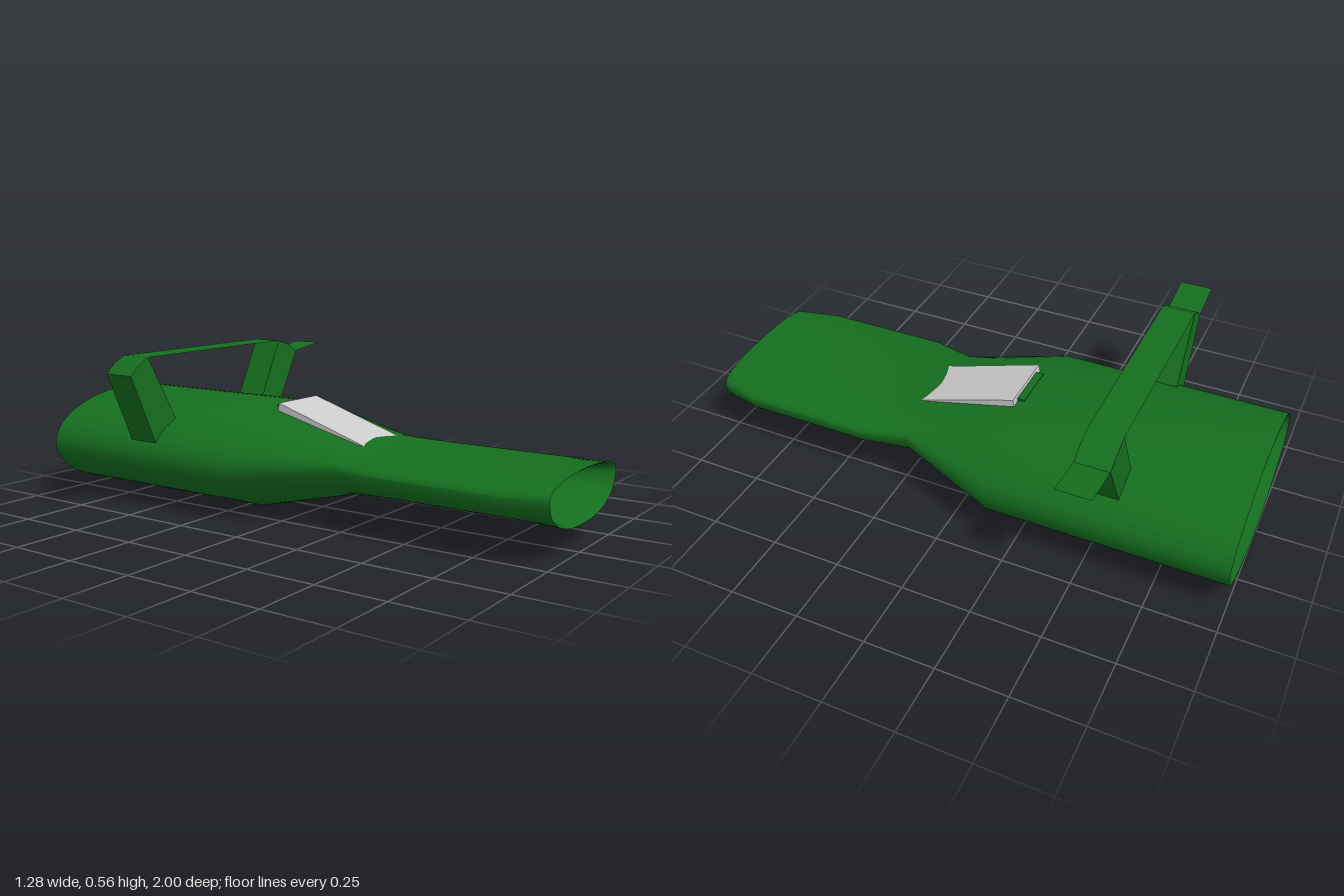
import * as THREE from 'three';
import { toCreasedNormals } from 'three/addons/utils/BufferGeometryUtils.js';

const green = new THREE.MeshStandardMaterial({ color: 0x156e1f, side: THREE.DoubleSide });
const grey = new THREE.MeshStandardMaterial({ color: 0xcccccc });

// Skins closed cross-sections: [z, half width, centre y, height above, depth below, squareness]
function loft(sections, cx, sides = 64) {
  const pos = [], index = [];
  for (const [z, w, cy, up, down, n] of sections) {
    for (let j = 0; j < sides; j++) {
      const a = (j / sides) * Math.PI * 2, c = Math.cos(a), s = Math.sin(a);
      const px = Math.sign(c) * Math.abs(c) ** (2 / n);
      const py = Math.sign(s) * Math.abs(s) ** (2 / n);
      pos.push(cx + w * px, cy + (s > 0 ? up : down) * py, z);
    }
  }
  for (let i = 0; i < sections.length - 1; i++) {
    for (let j = 0; j < sides; j++) {
      const k = (j + 1) % sides, a = i * sides, b = a + sides;
      index.push(a + j, a + k, b + j, a + k, b + k, b + j);
    }
  }
  const geo = new THREE.BufferGeometry();
  geo.setAttribute('position', new THREE.Float32BufferAttribute(pos, 3));
  geo.setIndex(index);
  return toCreasedNormals(geo, 0.8);
}

// Prism from a side profile of [z, y] points, running from x0 to x1
function sideProfile(points, x0, x1) {
  const shape = new THREE.Shape(points.map(([z, y]) => new THREE.Vector2(-z, y)));
  return new THREE.ExtrudeGeometry(shape, { depth: x1 - x0, bevelEnabled: false })
    .rotateY(Math.PI / 2).translate(x0, 0, 0);
}

export function createModel() {
  const model = new THREE.Group();
  const add = (name, geo, mat) => {
    const mesh = new THREE.Mesh(geo, mat);
    mesh.name = name;
    model.add(mesh);
    return mesh;
  };

  // Hollow body: outer skin back to front, then the inner passage front to back
  add('body', loft([
    [-1, 0.415, 0.19, 0.185, 0.19, 2],
    [-0.15, 0.415, 0.19, 0.185, 0.19, 2],
    [0.22, 0.27, 0.21, 0.07, 0.12, 2.2],
    [0.38, 0.31, 0.215, 0.045, 0.11, 2.3],
    [0.85, 0.31, 0.215, 0.045, 0.11, 2.3],
    [1, 0.27, 0.215, 0.055, 0.125, 2.3],
    [0.99, 0.26, 0.215, 0.048, 0.117, 2.3],
    [0.85, 0.23, 0.21, 0.035, 0.09, 2.3],
    [0.6, 0.16, 0.205, 0.03, 0.06, 2.3],
    [0.22, 0.16, 0.205, 0.03, 0.06, 2.3],
    [-0.15, 0.37, 0.19, 0.15, 0.155, 2],
    [-1, 0.412, 0.19, 0.182, 0.187, 2],
  ], 0.02), green);

  // Sloping plate on the shoulder, with a small block behind it
  add('topPlate', sideProfile([[0.25, 0.27], [-0.125, 0.39], [-0.13, 0.36], [0.22, 0.25]], -0.1, 0.132), grey);
  add('plateBlock', sideProfile([[-0.1, 0.376], [-0.155, 0.378], [-0.155, 0.35], [-0.1, 0.35]], -0.07, 0.1), green);

  // Two splayed arms
  const zBack = -0.6, depth = 0.12;
  const arms = {
    leftArm: [[0.345, 0.27], [0.478, 0.508], [0.43, 0.538], [0.36, 0.56], [0.23, 0.305]],
    rightArm: [[-0.375, 0.245], [-0.25, 0.295], [-0.402, 0.56], [-0.45, 0.537], [-0.49, 0.502]],
  };
  for (const [name, pts] of Object.entries(arms)) {
    const shape = new THREE.Shape(pts.map(p => new THREE.Vector2(...p)));
    add(name, new THREE.ExtrudeGeometry(shape, { depth, bevelEnabled: false }).translate(0, 0, zBack), green);
  }

  // Thin strap across the arm tops, with an upturned tab beyond each arm
  const strap = [[-0.64, 0.53], [-0.49, 0.502], [-0.45, 0.537], [-0.402, 0.56],
    [0.36, 0.56], [0.43, 0.538], [0.478, 0.508], [0.64, 0.53]];
  const ribbon = new THREE.PlaneGeometry(1, depth, strap.length - 1, 1).rotateX(-Math.PI / 2);
  const p = ribbon.attributes.position;
  for (let i = 0; i < p.count; i++) {
    const [x, y] = strap[i % strap.length];
    p.setXYZ(i, x, y + 0.001, p.getZ(i) + zBack + depth / 2);
  }
  add('strap', toCreasedNormals(ribbon, 0.3), green);

  return model;
}
